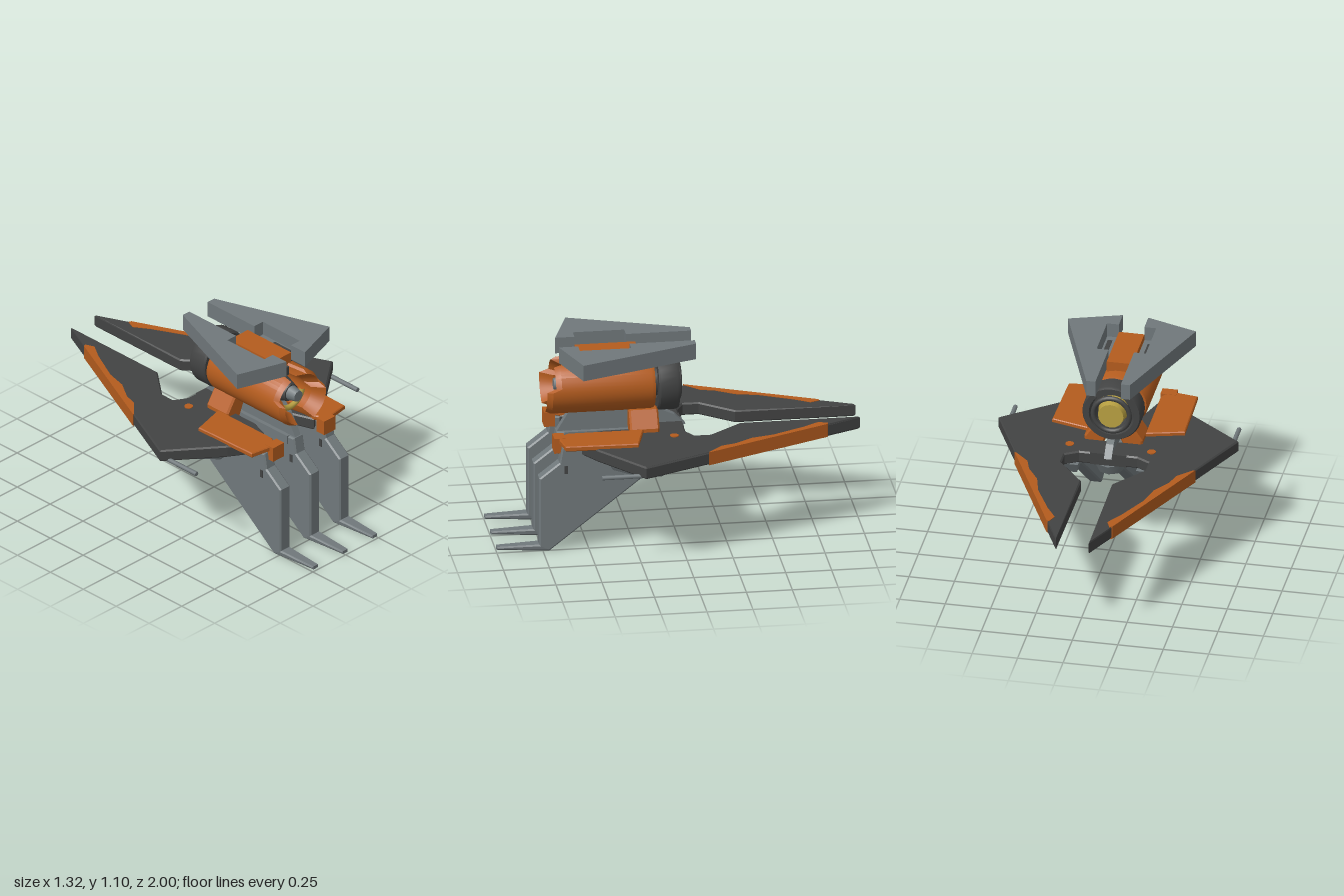
import * as THREE from 'three';
import { toCreasedNormals, mergeVertices } from 'three/addons/utils/BufferGeometryUtils.js';

const mat = (name, color) => Object.assign(new THREE.MeshStandardMaterial({ color }), { name });

export function createModel() {
  const root = new THREE.Group();
  root.name = 'glider';
  const orange = mat('orange paint', 0xb45c1e);
  const grey = mat('grey metal', 0x70787b);
  const dark = mat('dark metal', 0x424343);
  const gold = mat('gold', 0xb8a042);
  const CX = -0.014, CY = 0.855; // engine axis

  const add = (name, geo, m, x = 0, y = 0, z = 0) => {
    const mesh = new THREE.Mesh(geo, m);
    mesh.name = name;
    mesh.position.set(x, y, z);
    root.add(mesh);
    return mesh;
  };
  const extrude = (pts, depth, bevel) => new THREE.ExtrudeGeometry(
    new THREE.Shape(pts.map(p => new THREE.Vector2(...p))), {
      depth: depth - 2 * bevel, bevelEnabled: bevel > 0, bevelSize: bevel,
      bevelThickness: bevel, bevelOffset: -bevel, bevelSegments: 1,
    }).translate(0, 0, bevel);
  // plan outline (x, z) raised from y0 to y1; s = -1 mirrors it
  const slab = (pts, y0, y1, s = 1, bevel = 0) =>
    extrude(pts.map(([x, z]) => [s * x, -z]), y1 - y0, bevel).rotateX(-Math.PI / 2).translate(0, y0, 0);
  // side outline (z, y) with width w across x
  const blade = (pts, w, bevel = 0) =>
    extrude(pts, w, bevel).rotateY(-Math.PI / 2).translate(w / 2, 0, 0);
  // cylinder along z
  const rod = (rFront, rBack, z0, z1, n, open = false) =>
    new THREE.CylinderGeometry(rFront, rBack, z1 - z0, n, 1, open)
      .rotateX(Math.PI / 2).translate(0, 0, (z0 + z1) / 2);
  // ring along z from (radius, z) profile points
  const lathe = (pts, n) => toCreasedNormals(
    new THREE.LatheGeometry(pts.map(p => new THREE.Vector2(...p)), n).rotateX(Math.PI / 2), 0.6);

  const wing = [[0.09, -1], [0.66, 0.245], [0.37, 0.47], [0.16, 0.6], [0.09, 0.4],
    [0.09, -0.04], [0.16, -0.04], [0.23, -0.08], [0.23, -0.165], [0.085, -0.345]];
  const stripe = [[0.181, -0.81], [0.497, -0.12], [0.485, -0.125], [0.41, -0.2], [0.385, -0.28],
    [0.32, -0.38], [0.29, -0.5], [0.2, -0.68], [0.145, -0.765], [0.165, -0.815]];
  const pod = [[0.16, -0.07], [0.3, -0.07], [0.5, 0.13], [0.5, 0.25], [0.35, 0.42], [0.16, 0.42]];
  const shoulder = [[0.16, 0.19], [0.365, 0.245], [0.355, 0.64], [0.2, 0.665], [0.16, 0.6]];
  const arm = [[0.03, 0.73], [0.1, 0.73], [0.16, 0.64], [0.165, 0.53], [0.145, 0.47],
    [0.08, 0.478], [0.085, 0.53], [0.03, 0.66]];
  const topPlate = [[0.07, -0.105], [0.12, -0.105], [0.352, 0.54], [0.07, 0.635],
    [0.07, 0.53], [0.135, 0.53], [0.135, 0.25], [0.07, 0.25]];

  for (const s of [1, -1]) {
    const side = s > 0 ? 'left' : 'right';
    add(side + 'Wing', slab(wing, 0.55, 0.62, s, 0.008), dark);
    add(side + 'WingStripe', slab(stripe, 0.548, 0.623, s), orange);
    add(side + 'WingDot', new THREE.CylinderGeometry(0.024, 0.024, 0.006, 12), orange, s * 0.225, 0.621, 0.03);

    // pod under the wing narrows towards its base
    const pg = slab(pod, 0.485, 0.552, s);
    const p = pg.attributes.position;
    for (let i = 0; i < p.count; i++) {
      if (p.getY(i) < 0.5) {
        p.setX(i, s * 0.25 + (p.getX(i) - s * 0.25) * 0.86);
        p.setZ(i, 0.17 + (p.getZ(i) - 0.17) * 0.84);
      }
    }
    pg.computeVertexNormals();
    add(side + 'UnderwingPod', pg, grey);

    add(side + 'Shoulder', slab(shoulder, 0.612, 0.641, s, 0.005), orange);
    add(side + 'ShoulderFront', new THREE.BoxGeometry(0.085, 0.085, 0.06), orange, s * 0.195, 0.6, 0.655);
    add(side + 'EngineArm', extrude(arm.map(([x, y]) => [s * x, y]), 0.16, 0.01), orange, 0, 0, 0.1);
    add(side + 'Gun', rod(0.013, 0.013, 0.2, 0.48, 8), grey, s * 0.615, 0.555);

    // notched fin above the engine
    add(side + 'TopPlate', slab(topPlate, 1.01, 1.1, s), grey, CX);
    add(side + 'NotchFloor', new THREE.BoxGeometry(0.066, 0.012, 0.28), grey, CX + s * 0.102, 1.014, 0.39);
    add(side + 'NotchGrip', new THREE.BoxGeometry(0.025, 0.006, 0.13), dark, CX + s * 0.11, 1.021, 0.42);
  }

  // bridge between the wings
  add('wingBridge', new THREE.BoxGeometry(0.2, 0.07, 0.14), dark, 0, 0.585, 0.03);
  add('bridgeHub', new THREE.CylinderGeometry(0.1, 0.07, 0.06, 8), grey, 0, 0.52, 0.04);
  add('centreSpine', new THREE.BoxGeometry(0.09, 0.05, 0.5), grey, 0, 0.575, 0.35);

  // three landing legs; toes taper towards the front
  const leg = [[0.1, 0.485], [0.715, 0.004], [1, 0.018], [1, 0.036], [0.77, 0.042],
    [0.77, 0.425], [0.66, 0.51], [0.645, 0.6], [0.1, 0.57]];
  ['right', 'centre', 'left'].forEach((n, i) => {
    const g = blade(leg, 0.074, 0.008);
    const p = g.attributes.position;
    for (let k = 0; k < p.count; k++) {
      const t = Math.max(0, (p.getZ(k) - 0.77) / 0.23);
      p.setX(k, p.getX(k) * (1 - 0.42 * t));
    }
    g.computeVertexNormals();
    add(n + 'Leg', g, grey, (i - 1) * 0.226 - 0.002);
    add(n + 'LegSlot', new THREE.BoxGeometry(0.08, 0.045, 0.018), dark, (i - 1) * 0.226 - 0.002, 0.47, 0.625);
  });
  add('engineFin', blade([[-0.06, 0.6], [0.64, 0.6], [0.57, 0.72], [0.5, 0.79], [0.2, 0.75], [0, 0.66]], 0.042),
    grey, -0.002);

  // engine shell: open tube whose front edge is notched at top and bottom
  const N = 48, pos = [], idx = [];
  const frontZ = d => d < 16 ? 0.54 : d < 80 ? 0.66 : d < 160 ? 0.71 : 0.5;
  for (let i = 0; i <= N; i++) {
    const d = i * 360 / N, a = d * Math.PI / 180, f = frontZ(Math.min(d, 360 - d));
    const section = [[0.12, 0.6], [0.12, 0.95], [0.14, 1], [f - 0.03, 1], [f, 0.9], [f - 0.07, 0.64]];
    for (const [z, r] of section) pos.push(Math.sin(a) * 0.173 * r, Math.cos(a) * 0.15 * r, z);
  }
  for (let i = 0; i < N; i++) {
    for (let j = 0; j < 6; j++) {
      const a = i * 6 + j, b = i * 6 + (j + 1) % 6;
      idx.push(a, b, a + 6, b, b + 6, a + 6);
    }
  }
  const shell = new THREE.BufferGeometry();
  shell.setAttribute('position', new THREE.Float32BufferAttribute(pos, 3));
  shell.setIndex(idx);
  add('engineShell', toCreasedNormals(mergeVertices(shell), 0.5), orange, CX, CY);

  // nose core inside the shell
  add('noseCollar', rod(0.05, 0.082, 0.5, 0.6, 10), dark, CX, 0.862);
  add('noseBarrel', rod(0.082, 0.082, 0.14, 0.5, 10), dark, CX, 0.862);
  add('noseTip', rod(0.032, 0.042, 0.6, 0.655, 10), grey, CX, 0.862);
  add('noseLatch', new THREE.BoxGeometry(0.07, 0.05, 0.05), dark, CX, 0.965, 0.525);
  add('noseTrim', new THREE.TorusGeometry(0.094, 0.016, 8, 24, Math.PI * 0.9).rotateZ(Math.PI * 1.05),
    gold, CX, 0.862, 0.59);

  // saddle carrying the top plates
  add('saddle', new THREE.BoxGeometry(0.14, 0.07, 0.33), orange, CX, 1.02, 0.365);
  add('saddleBracket', new THREE.BoxGeometry(0.265, 0.01, 0.28), dark, CX, 1.005, 0.39);

  // rear thruster
  add('thrusterNeck', rod(0.085, 0.085, 0.05, 0.16, 20), dark, CX, CY);
  add('thrusterRing', lathe([[0.1, 0.1], [0.155, 0.1], [0.163, 0.09], [0.163, 0], [0.155, -0.015],
    [0.125, -0.015], [0.115, 0.02], [0.1, 0.02], [0.1, 0.1]].reverse(), 28), dark, CX, CY).material.side = THREE.DoubleSide;
  add('thrusterLip', new THREE.TorusGeometry(0.1, 0.014, 8, 28), dark, CX, CY, -0.018);
  add('thrusterCore', rod(0.085, 0.07, -0.036, 0.06, 16), gold, CX, CY);
  return root;
}
